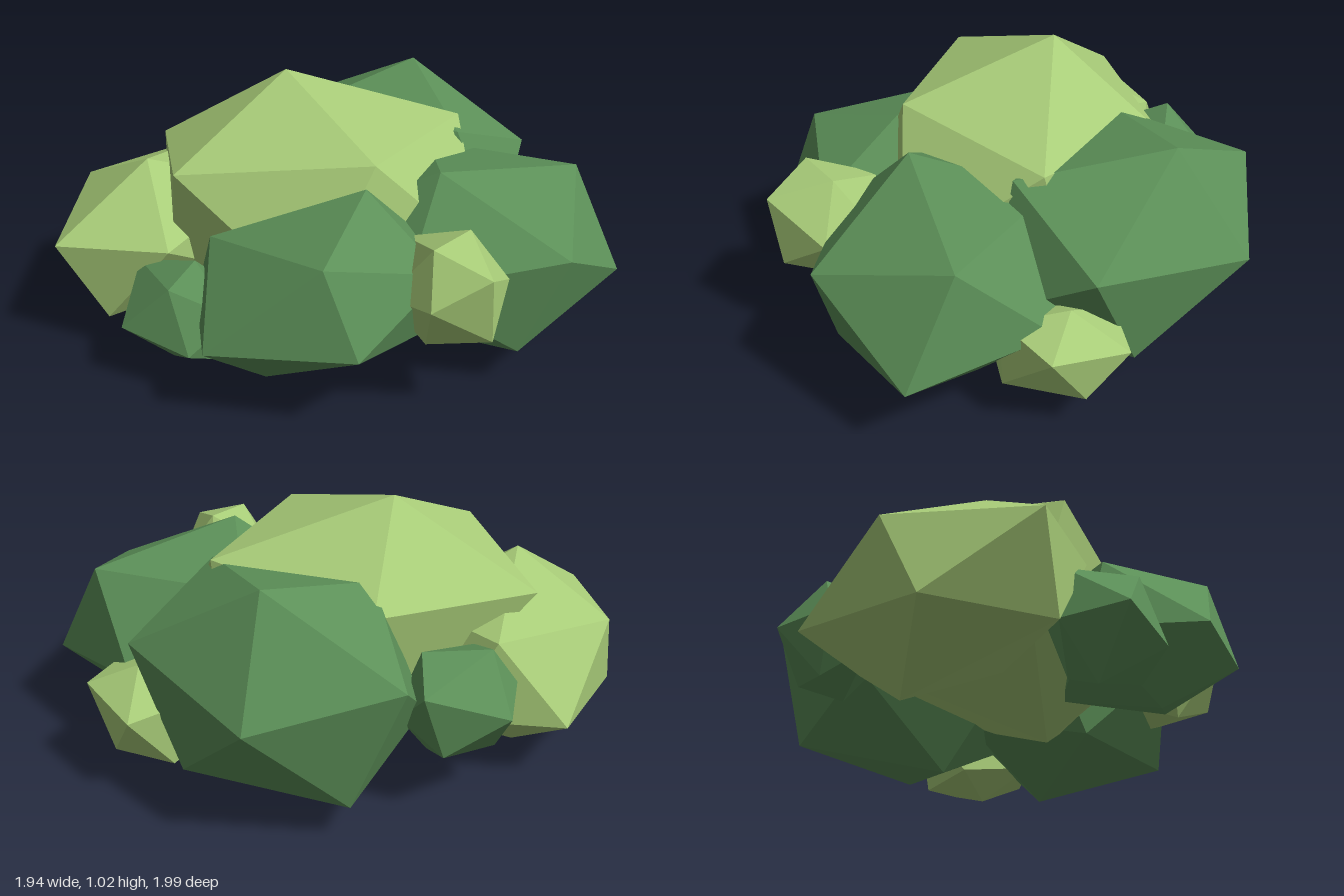
import * as THREE from 'three';
import { ConvexGeometry } from 'three/addons/geometries/ConvexGeometry.js';

const lightLeaf = new THREE.MeshStandardMaterial({ name: 'lightLeaf', color: 0xa8cc78, flatShading: true });
const darkLeaf = new THREE.MeshStandardMaterial({ name: 'darkLeaf', color: 0x5c9058, flatShading: true });

// A stretched icosahedron: a tip, the five corners around it,
// and the same six corners mirrored through the centre.
function leafClump(name, material, centre, corners) {
  const c = new THREE.Vector3(...centre);
  const points = corners.flatMap((p) => {
    const v = new THREE.Vector3(...p);
    return [v, c.clone().multiplyScalar(2).sub(v)];
  });
  const mesh = new THREE.Mesh(new ConvexGeometry(points), material);
  mesh.name = name;
  return mesh;
}

export function createModel() {
  const bush = new THREE.Group();
  bush.name = 'bush';
  bush.add(
    // large clumps
    leafClump('topClump', lightLeaf, [-0.06, 0.555, 0.03], [
      [-0.25, 1.02, 0.03], [0.16, 0.81, -0.53], [0.38, 0.86, 0.11],
      [-0.16, 0.78, 0.63], [-0.72, 0.67, 0.32], [-0.49, 0.71, -0.35],
    ]),
    leafClump('frontRightClump', lightLeaf, [-0.545, 0.362, 0.45], [
      [-0.45, 0.72, 0.57], [-0.87, 0.51, 0.61], [-0.47, 0.47, 0.99],
      [-0.12, 0.49, 0.7], [-0.29, 0.55, 0.13], [-0.75, 0.565, 0.04],
    ]),
    leafClump('frontLeftClump', darkLeaf, [0.335, 0.435, 0.36], [
      [0.58, 0.675, 0.52], [0.385, 0.785, 0.16], [0.02, 0.59, 0.6],
      [0.3, 0.32, 0.84], [0.735, 0.365, 0.49], [0.74, 0.57, 0.1],
    ]),
    leafClump('backLeftClump', darkLeaf, [0.46, 0.423, -0.325], [
      [0.97, 0.57, -0.31], [0.48, 0.8, -0.12], [0.63, 0.7, -0.72],
      [0.855, 0.31, -0.76], [0.85, 0.165, -0.2], [0.62, 0.47, 0.18],
    ]),
    leafClump('backRightClump', darkLeaf, [-0.2, 0.46, -0.54], [
      [-0.29, 0.875, -0.7], [-0.8, 0.6, -0.53], [-0.455, 0.48, -0.955],
      [0.19, 0.59, -0.905], [0.24, 0.78, -0.45], [-0.37, 0.78, -0.215],
    ]),
    // small clumps filling the gaps
    leafClump('smallFrontClump', darkLeaf, [-0.05, 0.27, 0.69], [
      [-0.11, 0.26, 0.93], [-0.25, 0.42, 0.75], [0.03, 0.44, 0.8],
      [0.14, 0.2, 0.8], [-0.1, 0.04, 0.72], [-0.28, 0.22, 0.76],
    ]),
    leafClump('smallLeftClump', lightLeaf, [0.72, 0.49, 0.06], [
      [0.96, 0.645, 0.09], [0.94, 0.37, 0.05], [0.84, 0.525, 0.26],
      [0.76, 0.71, 0.18], [0.74, 0.71, -0.02], [0.84, 0.51, -0.13],
    ]),
    leafClump('smallBackClump', lightLeaf, [0.25, 0.265, -0.775], [
      [0.1, 0.33, -1], [0.24, 0.46, -0.83], [0.4, 0.375, -0.955],
      [0.25, 0.15, -0.955], [0.05, 0.12, -0.84], [0.03, 0.36, -0.8],
    ]),
    leafClump('smallRightClump', darkLeaf, [-0.71, 0.39, -0.13], [
      [-0.94, 0.39, -0.125], [-0.79, 0.59, -0.05], [-0.75, 0.5, -0.38],
      [-0.78, 0.25, -0.3], [-0.8, 0.19, -0.02], [-0.815, 0.42, 0.08],
    ]),
  );
  return bush;
}
